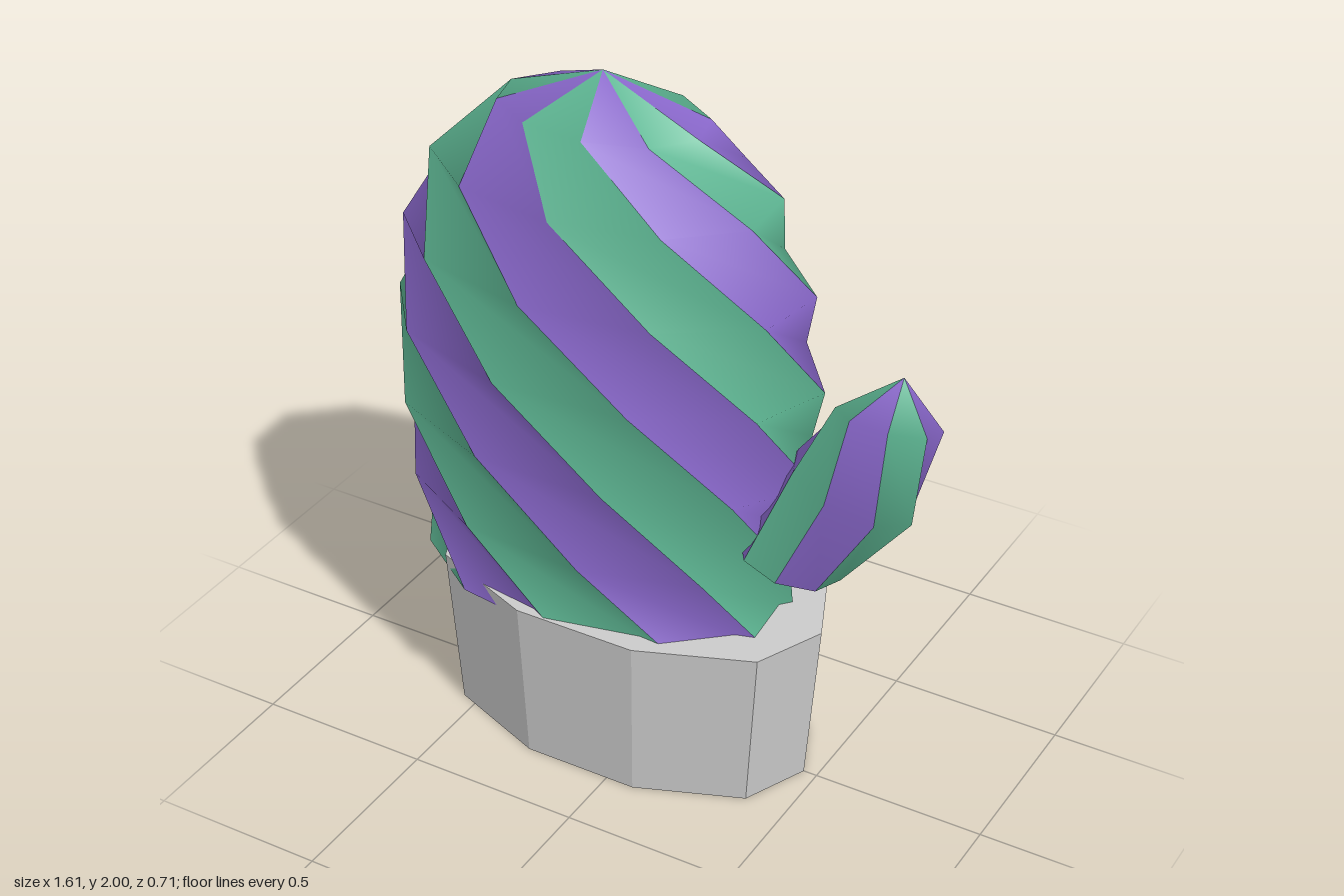
import * as THREE from 'three';

const GREEN = new THREE.MeshStandardMaterial({ color: 0x5db592, side: THREE.DoubleSide });
const PURPLE = new THREE.MeshStandardMaterial({ color: 0x8a68cc, side: THREE.DoubleSide });
const GREY = new THREE.MeshStandardMaterial({ color: 0xcccccc, flatShading: true });

// Twisted, tapering form of alternating stripes that meet at a tip.
// Each ring: centre x, centre y, radius x, radius z, slope along x, slope along z.
function stripedStem(name, sides, tip, rings, phase, twist) {
  const group = new THREE.Group();
  group.name = name;
  const point = (r, j) => {
    const [cx, cy, rx, rz, slopeX = 0, slopeZ = 0] = rings[r];
    const a = THREE.MathUtils.degToRad(phase - twist * r - (360 / sides) * j);
    const x = rx * Math.cos(a), z = rz * Math.sin(a);
    return [cx + x, cy + slopeX * x + slopeZ * z, z];
  };
  for (let j = 0; j < sides; j++) {
    const pos = [...tip];
    const index = [0, 1, 2];
    rings.forEach((_, r) => {
      pos.push(...point(r, j), ...point(r, j + 1));
      if (r > 0) {
        const a = 2 * r - 1, b = a + 2;
        index.push(a, b, b + 1, a, b + 1, a + 1);
      }
    });
    const geo = new THREE.BufferGeometry();
    geo.setAttribute('position', new THREE.Float32BufferAttribute(pos, 3));
    geo.setIndex(index);
    geo.computeVertexNormals();
    const stripe = new THREE.Mesh(geo, j % 2 ? GREEN : PURPLE);
    stripe.name = j % 2 ? 'greenStripe' : 'purpleStripe';
    group.add(stripe);
  }
  return group;
}

// Ten-sided oval pot, slightly wider at the rim
function makePot() {
  const geo = new THREE.CylinderGeometry(0.585, 0.545, 0.49, 10, 1, false, Math.PI / 2);
  const p = geo.attributes.position;
  for (let i = 0; i < p.count; i++) {
    // push the end corners out a little so the oval is fuller
    const c = Math.abs(p.getX(i));
    if (c > 0.4 && c < 0.5) p.setX(i, p.getX(i) * 1.05);
  }
  geo.scale(1, 1, 0.583);
  geo.translate(-0.085, 0.245, 0);
  const pot = new THREE.Mesh(geo, GREY);
  pot.name = 'pot';
  return pot;
}

export function createModel() {
  const model = new THREE.Group();
  model.name = 'pottedCactus';
  model.add(makePot());

  // Main body
  const profile = [
    [1.89, 0.30, 0.19], [1.71, 0.50, 0.305], [1.47, 0.60, 0.345], [1.22, 0.64, 0.361],
    [0.96, 0.635, 0.355], [0.70, 0.60, 0.34], [0.45, 0.56, 0.32],
  ];
  const rings = profile.map(([y, rx, rz]) => [-0.17, y, rx, rz]);
  model.add(stripedStem('body', 10, [-0.17, 2, 0], rings, 153, 29));

  // Side arm leaning outwards
  model.add(stripedStem('arm', 8, [0.705, 1.36, 0], [
    [0.67, 1.225, 0.14, 0.135, -0.05, 0.35],
    [0.58, 0.99, 0.17, 0.165, -0.35, 0.2],
    [0.40, 0.70, 0.13, 0.175, -0.35, 0.3],
  ], 22, 20));
  return model;
}
